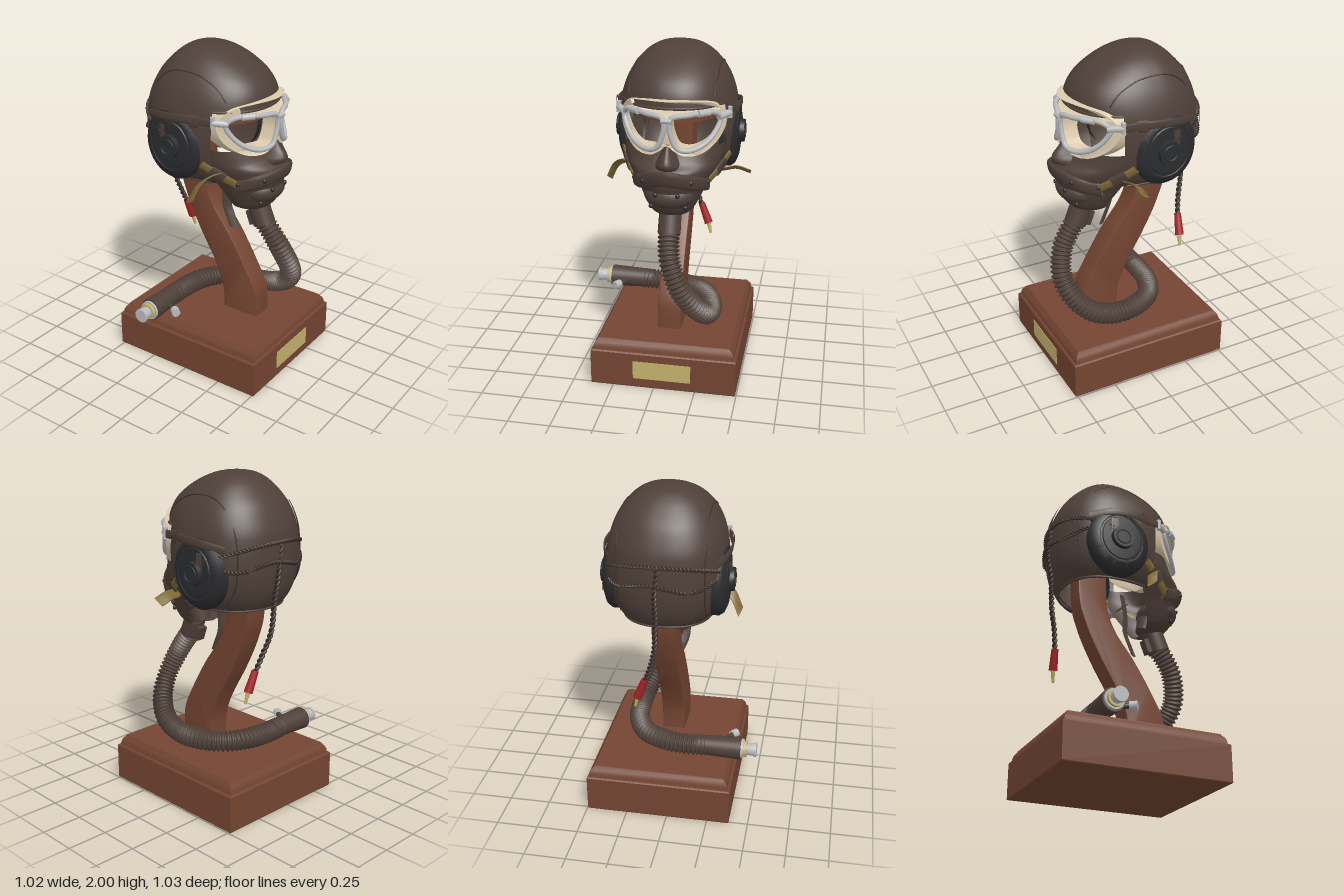
import * as THREE from 'three';
import { toCreasedNormals } from 'three/addons/utils/BufferGeometryUtils.js';

const V = (x, y, z) => new THREE.Vector3(x, y, z);
const CX = 0.055; // middle of the head and stand
const mat = (name, color) => Object.assign(new THREE.MeshStandardMaterial({ color, side: THREE.DoubleSide }), { name });
const M = {
  leather: mat('brown leather', 0x4f4039), wood: mat('stained wood', 0x744532), black: mat('black rubber', 0x2b2c2e),
  silver: mat('silver metal', 0xb9babc), cream: mat('cream padding', 0xdccbad), khaki: mat('khaki webbing', 0x7f6a35),
  brass: mat('brass', 0xc4b26e), red: mat('red plug', 0xa3242b), cord: mat('dark cord', 0x3c302b),
};

// Surface from a rule over a grid, optionally closed around u and with quads left out
function grid(nu, nv, point, closed = false, keep = () => true) {
  const pos = [], idx = [], cols = closed ? nu : nu + 1;
  for (let j = 0; j <= nv; j++) for (let i = 0; i < cols; i++) pos.push(...point(i / nu, j / nv).toArray());
  for (let j = 0; j < nv; j++) for (let i = 0; i < nu; i++) {
    if (!keep((i + 0.5) / nu, (j + 0.5) / nv)) continue;
    const a = j * cols + i, b = j * cols + (i + 1) % cols;
    idx.push(a, b, b + cols, a, b + cols, a + cols);
  }
  const g = new THREE.BufferGeometry();
  g.setAttribute('position', new THREE.Float32BufferAttribute(pos, 3));
  g.setIndex(idx);
  g.computeVertexNormals();
  return g;
}
const spline = (pts, closed = false) => new THREE.CatmullRomCurve3(pts, closed);
const tube = (pts, r, n = 40, closed = false) => new THREE.TubeGeometry(spline(pts, closed), n, r, 8, closed);

// Round sweep whose radius follows a rule
function sweep(curve, n, sides, radius) {
  const f = curve.computeFrenetFrames(n, false);
  return grid(sides, n, (u, v) => {
    const k = Math.round(v * n), a = u * Math.PI * 2;
    return curve.getPointAt(v).addScaledVector(f.normals[k], radius(v) * Math.cos(a)).addScaledVector(f.binormals[k], radius(v) * Math.sin(a));
  }, true);
}
// Flat strap swept along points
function strap(pts, width, thick = 0.006) {
  const c = spline(pts);
  return grid(12, 24, (u, v) => {
    const a = u * Math.PI * 2, n = c.getTangent(v).cross(width).normalize();
    return c.getPoint(v).addScaledVector(width, 0.5 * Math.cos(a)).addScaledVector(n, thick * Math.sin(a));
  }, true);
}
// Front half of a loft: rows of height, front z, half width, back z
function halfLoft(rows, arc) {
  const front = spline(rows.map(r => V(r[0], r[1], r[2]))), back = spline(rows.map(r => V(r[0], r[3], 0)));
  return grid(36, rows.length * 6, (u, v) => {
    const p = front.getPoint(v), b = back.getPoint(v).y, a = (u - 0.5) * Math.PI * arc;
    return V(CX + p.z * Math.sin(a), p.x, b + (p.y - b) * Math.cos(a));
  });
}
function cyl(p, q, r0, r1 = r0, sides = 24) {
  const d = q.clone().sub(p), g = new THREE.CylinderGeometry(r1, r0, d.length(), sides);
  g.applyQuaternion(new THREE.Quaternion().setFromUnitVectors(V(0, 1, 0), d.normalize()));
  return g.translate((p.x + q.x) / 2, (p.y + q.y) / 2, (p.z + q.z) / 2);
}
const ball = (x, y, z, a, b, c) => new THREE.SphereGeometry(1, 28, 18).scale(a, b, c).translate(x, y, z);

// Helmet cross-sections: height, front z, back z, half width
const ROWS = [[2, -0.11, -0.11, 0], [1.985, 0, -0.21, 0.11], [1.95, 0.09, -0.27, 0.18], [1.9, 0.18, -0.325, 0.235],
  [1.83, 0.265, -0.385, 0.285], [1.76, 0.305, -0.42, 0.318], [1.69, 0.318, -0.445, 0.338], [1.63, 0.32, -0.454, 0.347],
  [1.55, 0.315, -0.458, 0.353], [1.45, 0.31, -0.457, 0.35], [1.35, 0.31, -0.44, 0.33], [1.28, 0.3, -0.41, 0.3], [1.23, 0.28, -0.375, 0.262]];
const N = ROWS.length - 1, ZC = -0.11;
const rowA = spline(ROWS.map(r => V(r[0], r[1], r[2]))), rowB = spline(ROWS.map(r => V(r[0], r[3], 0)));
const pw = s => Math.sign(s) * Math.abs(s) ** 0.9;
function headAt(theta, t, off = 0) {
  const a = rowA.getPoint(t), w = rowB.getPoint(t).y, s = Math.sin(theta), c = Math.cos(theta);
  return V(CX - 0.005 + w * pw(s) + off * s, a.x, ZC + (c > 0 ? a.y - ZC : ZC - a.z) * pw(c) + off * c);
}
function tOf(y) {
  let i = 0;
  while (i < N - 1 && ROWS[i + 1][0] > y) i++;
  return (i + (ROWS[i][0] - y) / (ROWS[i][0] - ROWS[i + 1][0])) / N;
}
const onHead = (deg, y, off) => headAt(deg * Math.PI / 180, tOf(y), off);
const patch = (d0, d1, y0, y1, off) => grid(14, 14, (u, v) => onHead(d0 + (d1 - d0) * u, y0 + (y1 - y0) * v, off));

// Goggles lie on a parabola seen from above
const bendZ = dx => 0.375 - 2.3 * dx * dx;
const LENS = [[0.015, 1.61], [0.025, 1.652], [0.12, 1.668], [0.25, 1.663], [0.28, 1.625], [0.26, 1.56], [0.205, 1.492], [0.125, 1.462], [0.06, 1.478], [0.028, 1.54]];

export function createModel() {
  const root = new THREE.Group();
  const add = (name, geo, m) => {
    const mesh = new THREE.Mesh(geo, m);
    mesh.name = name;
    root.add(mesh);
  };

  // Base with moulded top edge: height, inset
  const BASE = [[0, 9], [0, 0.004], [0.006, 0], [0.222, 0], [0.23, 0.006], [0.232, 0.014], [0.252, 0.017], [0.27, 0.024], [0.284, 0.036], [0.295, 0.042], [0.295, 9]];
  const base = grid(4, BASE.length - 1, (u, v) => {
    const [y, i] = BASE[Math.round(v * (BASE.length - 1))], k = Math.round(u * 4) % 4;
    const hx = Math.max(0, 0.44 - i), hz = Math.max(0, 0.514 - i);
    return V(CX + (k === 0 || k === 3 ? -hx : hx), y, k < 2 ? hz : -hz);
  }, true);
  add('base', toCreasedNormals(base, 0.4), M.wood);
  add('namePlate', new THREE.BoxGeometry(0.35, 0.115, 0.006).translate(0.05, 0.118, 0.514), M.brass);

  // S-shaped post
  const post = new THREE.Shape();
  post.moveTo(0.05, 0.28);
  post.lineTo(0.28, 0.28);
  post.splineThru([[0.27, 0.45], [0.2, 0.6], [0.08, 0.8], [-0.06, 1], [-0.11, 1.2], [-0.11, 1.6]].map(p => new THREE.Vector2(...p)));
  post.lineTo(-0.28, 1.6);
  post.splineThru([[-0.28, 1.2], [-0.23, 1], [-0.135, 0.8], [-0.02, 0.6], [0.04, 0.45], [0.05, 0.28]].map(p => new THREE.Vector2(...p)));
  const postGeo = new THREE.ExtrudeGeometry(post, { depth: 0.125, curveSegments: 40, bevelSize: 0.008, bevelThickness: 0.008, bevelSegments: 2 });
  add('post', toCreasedNormals(postGeo.rotateY(-Math.PI / 2).translate(0.117, 0, 0), 0.6), M.wood);
  add('headBlock', new THREE.CylinderGeometry(0.25, 0.25, 0.05, 40).scale(1, 1, 1.15).translate(CX, 1.615, -0.04), M.wood);

  // Helmet shell, open at the face and below
  const shell = grid(72, N * 4, (u, v) => headAt(u * Math.PI * 2, v), true, (u, v) => {
    const d = Math.abs(((u * 360 + 180) % 360) - 180);
    return v < 6 / N || d > 60;
  });
  add('helmet', shell, M.leather);
  add('browHem', tube(Array.from({ length: 13 }, (_, i) => onHead(-60 + i * 10, 1.692, 0.001)), 0.008), M.leather);
  add('napeHem', tube(Array.from({ length: 21 }, (_, i) => onHead(65 + i * 11.5, 1.232, 0)), 0.008, 60), M.leather);
  for (const s of [-1, 1]) { // crown seams
    const pts = [1.74, 1.78, 1.82, 1.85, 1.87, 1.87, 1.82, 1.74, 1.64, 1.5, 1.38, 1.28].map((y, i) => {
      const a = Math.asin(Math.min(1, (0.25 / rowB.getPoint(tOf(y)).y) ** (1 / 0.9))) * 180 / Math.PI;
      return onHead(s * (i < 5 ? a : 180 - a), y, 0);
    });
    add('crownSeam', tube(pts, 0.004, 60), M.cord);
  }
  // Loops and tabs that hold the cords
  for (const d of [128, 178, 232]) add('cordTab', patch(d - 5, d + 5, 1.5, 1.82, 0.013), M.leather);
  for (const d of [100, 150, 205, 260]) add('cordLoop', patch(d - 3, d + 3, 1.46, 1.58, 0.02), M.leather);

  // Ear cups and goggle strap on both sides
  for (const s of [-1, 1]) {
    const hx = CX - 0.005;
    const prof = [[0, 0.074], [0.36, 0.074], [0.62, 0.07], [0.64, 0.065], [0.7, 0.064], [0.72, 0.067], [0.92, 0.048], [1, 0.022], [1, -0.03]];
    const cup = new THREE.LatheGeometry(prof.map(p => new THREE.Vector2(p[0], p[1])), 48).scale(0.2, 1, 0.225);
    cup.rotateX(Math.PI / 2).rotateY(s * Math.PI / 2);
    add('earCup', toCreasedNormals(cup.translate(hx + s * 0.29, 1.46, -0.135), 0.6), M.black);
    add('earHub', cyl(V(hx + s * 0.34, 1.455, -0.135), V(hx + s * 0.39, 1.455, -0.135), 0.075, 0.068, 32), M.black);
    add('earHubRim', new THREE.TorusGeometry(0.045, 0.005, 8, 32).rotateY(Math.PI / 2).translate(hx + s * 0.39, 1.455, -0.135), M.black);
    add('goggleStrap', strap([V(CX + s * 0.33, 1.64, 0.125), onHead(s * 72, 1.64, 0.012), onHead(s * 85, 1.64, 0.02), onHead(s * 102, 1.63, 0.02), onHead(s * 125, 1.6, 0.012)], V(0, 0.05, 0)), M.leather);
    add('strapBuckle', strap([onHead(s * 70, 1.64, 0.018), onHead(s * 77, 1.64, 0.022)], V(0, 0.075, 0), 0.008), M.leather);
  }

  // Twisted cords around the back and down to the plug
  function braid(name, pts, r, turns) {
    const c = spline(pts), n = turns * 6, f = c.computeFrenetFrames(n, false);
    for (const ph of [0, Math.PI]) {
      const line = Array.from({ length: n + 1 }, (_, k) => {
        const a = ph + k / n * turns * Math.PI * 2;
        return c.getPointAt(k / n).addScaledVector(f.normals[k], r * Math.cos(a)).addScaledVector(f.binormals[k], r * Math.sin(a));
      });
      add(name, tube(line, r * 0.95, n * 2), M.cord);
    }
  }
  const around = (d0, d1, y) => Array.from({ length: 12 }, (_, i) => onHead(d0 + (d1 - d0) * i / 11, y(i / 11), 0.01));
  braid('upperCord', around(98, 262, t => 1.52 + 0.11 * Math.sin(t * Math.PI)), 0.007, 24);
  braid('lowerCord', around(100, 260, t => 1.5 + 0.02 * Math.cos(t * 14)), 0.007, 24);
  braid('plugCord', [onHead(180, 1.62, 0.008), onHead(178, 1.45, 0.008), V(0.07, 1.3, -0.44), V(0.08, 1.1, -0.425), V(0.115, 0.96, -0.39), V(0.15, 0.86, -0.37)], 0.009, 12);
  add('plug', cyl(V(0.15, 0.87, -0.37), V(0.198, 0.745, -0.36), 0.021, 0.027), M.red);
  add('plugTip', cyl(V(0.198, 0.745, -0.36), V(0.215, 0.675, -0.352), 0.014, 0.008), M.brass);

  // Goggles: padding with two openings, frames, bridge and side mounts
  const half = [[0.15, 1.737], [0.25, 1.71], [0.305, 1.63], [0.285, 1.52], [0.2, 1.437], [0.1, 1.428], [0.04, 1.46]];
  const outline = [[0, 1.743], ...half, [0, 1.49], ...half.map(p => [-p[0], p[1]]).reverse()];
  const flat = (pts, n) => spline(pts.map(p => V(p[0], p[1], 0)), true).getPoints(n).slice(0, -1).map(p => new THREE.Vector2(p.x, p.y));
  const padShape = new THREE.Shape(flat(outline, 90));
  for (const s of [-1, 1]) padShape.holes.push(new THREE.Path(flat(LENS.map(p => [s * (0.148 + (p[0] - 0.148) * 0.92), 1.565 + (p[1] - 1.565) * 0.9]), 60)));
  const pad = new THREE.ExtrudeGeometry(padShape, { depth: 0.085, bevelEnabled: false });
  const pp = pad.attributes.position;
  for (let i = 0; i < pp.count; i++) pp.setXYZ(i, pp.getX(i) + CX, pp.getY(i), pp.getZ(i) - 0.095 + bendZ(pp.getX(i)));
  add('gogglePadding', toCreasedNormals(pad, 0.6), M.cream);
  for (const s of [-1, 1]) {
    const at = (dx, y, dz = 0) => V(CX + s * dx, y, bendZ(dx) + dz);
    add('goggleFrame', tube(LENS.map(p => at(p[0], p[1])), 0.0155, 90, true), M.silver);
    add('frameClamp', cyl(at(0.17, 1.672, 0.008), at(0.225, 1.67, 0.008), 0.019), M.silver);
    add('frameHinge', cyl(at(0.27, 1.63), at(0.325, 1.64), 0.02), M.silver);
    add('strapMount', cyl(at(0.325, 1.61, 0.005), at(0.325, 1.675, 0.005), 0.014), M.silver);
  }
  add('goggleBridge', cyl(V(CX - 0.03, 1.64, 0.38), V(CX + 0.03, 1.64, 0.38), 0.016), M.silver);

  // Oxygen mask with nose, muzzle and cheek straps
  add('mask', halfLoft([[1.46, 0.3, 0.298, 0.1], [1.38, 0.345, 0.29, 0.1], [1.33, 0.4, 0.272, 0.1], [1.27, 0.405, 0.24, 0.11], [1.2, 0.385, 0.2, 0.13],
    [1.12, 0.365, 0.16, 0.16], [1.06, 0.32, 0.125, 0.17], [1.03, 0.26, 0.08, 0.17], [1.03, 0.18, 0.01, 0.17]], 1.1), M.leather);
  add('nose', halfLoft([[1.51, 0.345, 0.024, 0.27], [1.45, 0.388, 0.042, 0.27], [1.41, 0.42, 0.06, 0.27], [1.38, 0.428, 0.076, 0.27], [1.355, 0.41, 0.082, 0.27], [1.335, 0.35, 0.075, 0.27]], 1), M.leather);
  add('maskCup', ball(CX, 1.175, 0.275, 0.15, 0.09, 0.122), M.leather);
  add('maskBand', strap([[-0.215, 1.235, 0.22], [-0.15, 1.27, 0.345], [0, 1.315, 0.43], [0.15, 1.27, 0.345], [0.215, 1.235, 0.22]].map(p => V(CX + p[0], p[1], p[2])), V(0, 0.1, 0.025), 0.016), M.leather);
  add('chinValve', cyl(V(CX, 1.12, 0.22), V(CX, 1.04, 0.19), 0.075, 0.06), M.leather);
  for (const s of [-1, 1]) {
    const side = (x, y, z) => V(CX + s * x, y, z);
    for (const [dx, y, z] of [[0.065, 1.2, 0.383], [0.14, 1.28, 0.372], [0.1, 1.11, 0.325], [0.215, 1.25, 0.24]])
      add('maskStud', ball(CX + s * dx, y, z, 0.014, 0.014, 0.012), M.black);
    add('cheekStrap', strap([side(0.205, 1.235, 0.24), side(0.268, 1.3, 0.15), side(0.32, 1.37, 0.05)], V(0, 0.045, 0.035), 0.01), M.khaki);
    add('cheekBuckle', strap([side(0.258, 1.285, 0.17), side(0.298, 1.335, 0.1)], V(0, 0.065, 0.05), 0.014), M.leather);
  }
  add('looseStrapRight', strap([V(-0.17, 1.295, 0.17), V(-0.24, 1.305, 0.12), V(-0.31, 1.26, 0.07), V(-0.36, 1.165, 0.04)], V(-0.02, 0.04, 0.06)), M.khaki);
  add('looseStrapLeft', strap([V(0.26, 1.32, 0.15), V(0.34, 1.285, 0.1), V(0.42, 1.29, 0.07), V(0.503, 1.265, 0.065)], V(0.01, 0.04, 0.06)), M.khaki);
  add('chinStrap', strap([V(0.02, 1.25, 0.02), V(0.02, 1.12, 0.04), V(0.02, 1, 0.04), V(0.02, 0.92, 0.07), V(0.02, 0.86, 0.095)], V(0.035, 0, 0.045), 0.008), M.leather);

  // Ribbed hose from the mask round the post to its end fitting
  add('hoseInlet', cyl(V(CX, 1.06, 0.24), V(CX, 0.93, 0.29), 0.066, 0.068), M.leather);
  add('inletTab', new THREE.BoxGeometry(0.06, 0.09, 0.06).rotateX(-0.35).translate(CX, 0.955, 0.215), M.leather);
  const hose = spline([V(CX, 0.95, 0.28), V(0.06, 0.88, 0.335), V(0.078, 0.785, 0.39), V(0.14, 0.64, 0.425), V(0.215, 0.52, 0.39), V(0.275, 0.42, 0.29),
    V(0.29, 0.37, 0.15), V(0.27, 0.362, 0), V(0.19, 0.362, -0.14), V(0.05, 0.362, -0.215), V(-0.08, 0.362, -0.235), V(-0.2, 0.365, -0.235)]);
  add('hose', sweep(hose, 480, 16, v => 0.058 + 0.008 * Math.cos(v * 60 * Math.PI * 2)), M.leather);
  const E = x => V(x, 0.368, -0.235);
  add('hoseSleeve', cyl(E(-0.14), E(-0.42), 0.058, 0.07, 32), M.leather);
  add('fittingCollar', cyl(E(-0.41), E(-0.435), 0.06), M.silver);
  add('fittingRing', cyl(E(-0.43), E(-0.455), 0.05), M.brass);
  add('fittingNeck', cyl(E(-0.45), E(-0.505), 0.036, 0.04), M.silver);
  add('fittingLip', cyl(E(-0.497), E(-0.515), 0.044), M.silver);
  add('nozzleNeck', cyl(V(-0.31, 0.37, -0.18), V(-0.348, 0.375, -0.1), 0.016), M.leather);
  add('nozzleCap', cyl(V(-0.345, 0.375, -0.105), V(-0.372, 0.375, -0.07), 0.026), M.silver);

  return root;
}
